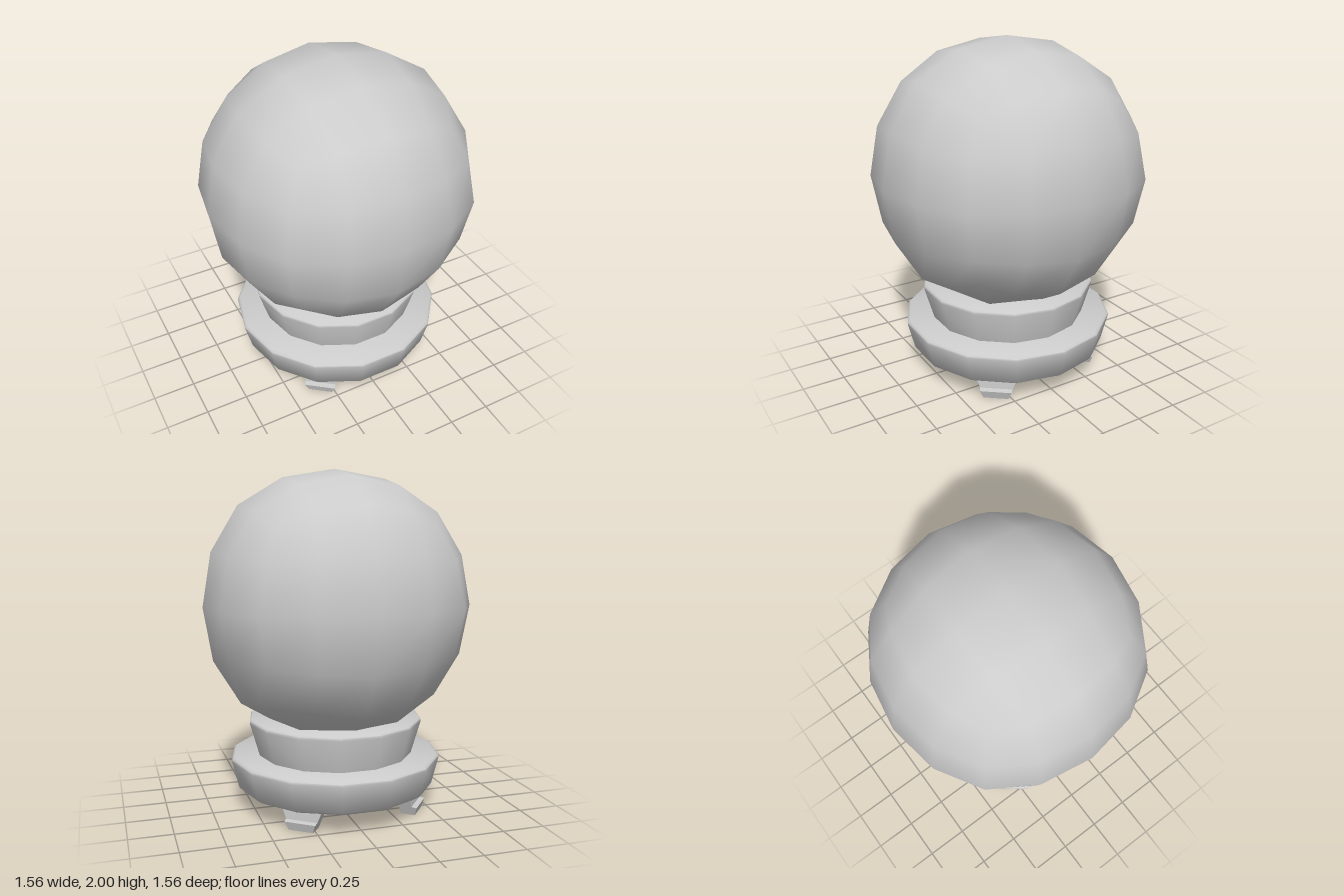
import * as THREE from 'three';
import { toCreasedNormals, mergeVertices } from 'three/addons/utils/BufferGeometryUtils.js';

const material = new THREE.MeshStandardMaterial({ color: 0xcccccc });
const innerMaterial = new THREE.MeshStandardMaterial({ color: 0xcccccc, side: THREE.BackSide });

// Twice-subdivided cube: each lattice point of a 4x4x4 box moves to its rounded place.
// Key = the sum of the absolute lattice steps plus how many are 2; value = [0, step 1, step 2].
const ROUNDED = {
  '2,1': [0, 0, 0.78],
  '3,1': [0, 0.311, 0.728],
  '4,1': [0, 0.29, 0.679],
  '4,2': [0, 0, 0.571],
  '5,2': [0, 0.268, 0.532],
  '6,3': [0, 0, 0.452],
};

function ballGeometry() {
  let geometry = new THREE.BoxGeometry(4, 4, 4, 4, 4, 4);
  geometry.deleteAttribute('normal');
  geometry.deleteAttribute('uv');
  geometry = mergeVertices(geometry);
  const p = geometry.attributes.position;
  for (let i = 0; i < p.count; i++) {
    const v = [p.getX(i), p.getY(i), p.getZ(i)].map(Math.round);
    const steps = v.map(Math.abs);
    const sum = steps[0] + steps[1] + steps[2];
    const table = ROUNDED[`${sum},${steps.filter((s) => s === 2).length}`];
    p.setXYZ(i, ...v.map((c, k) => Math.sign(c) * table[steps[k]]));
  }
  geometry.computeVertexNormals();
  return geometry;
}

// Fourteen-sided ring body with corners on the x axis
function turned(points) {
  const profile = points.map(([r, y]) => new THREE.Vector2(r, y));
  return toCreasedNormals(new THREE.LatheGeometry(profile, 14, Math.PI / 2), 0.9);
}

// Tapered foot: a side profile (radius, height) whose width narrows towards the floor
function footGeometry() {
  const profile = [[0.445, 0], [0.53, 0], [0.545, 0.05], [0.515, 0.055], [0.51, 0.14], [0.43, 0.14]];
  const shape = new THREE.Shape(profile.map(([r, y]) => new THREE.Vector2(r, y)));
  const geometry = new THREE.ExtrudeGeometry(shape, { depth: 2, bevelEnabled: false });
  geometry.translate(0, 0, -1);
  const p = geometry.attributes.position;
  for (let i = 0; i < p.count; i++) p.setZ(i, p.getZ(i) * (0.073 + 0.39 * p.getY(i)));
  geometry.computeVertexNormals();
  return geometry;
}

export function createModel() {
  const model = new THREE.Group();
  model.name = 'globeOnStand';
  const add = (name, geometry, mat = material) => {
    const mesh = new THREE.Mesh(geometry, mat);
    mesh.name = name;
    model.add(mesh);
    return mesh;
  };

  // Ball with a thin wall
  const ball = ballGeometry();
  add('ball', ball).position.y = 1.22;
  const inner = add('ballInnerWall', ball, innerMaterial);
  inner.position.y = 1.22;
  inner.scale.setScalar(0.935);

  // Stand
  add('collar', turned([[0.46, 0.31], [0.52, 0.52], [0.52, 0.535], [0.508, 0.545], [0, 0.545]]));
  add('base', turned([[0, 0.12], [0.56, 0.12], [0.59, 0.14], [0.63, 0.3], [0.63, 0.313], [0.615, 0.325], [0, 0.325]]));

  // Four feet
  const foot = footGeometry();
  for (let i = 0; i < 4; i++) {
    add(`foot${i + 1}`, foot).rotation.y = THREE.MathUtils.degToRad(-38 + 90 * i);
  }
  return model;
}
